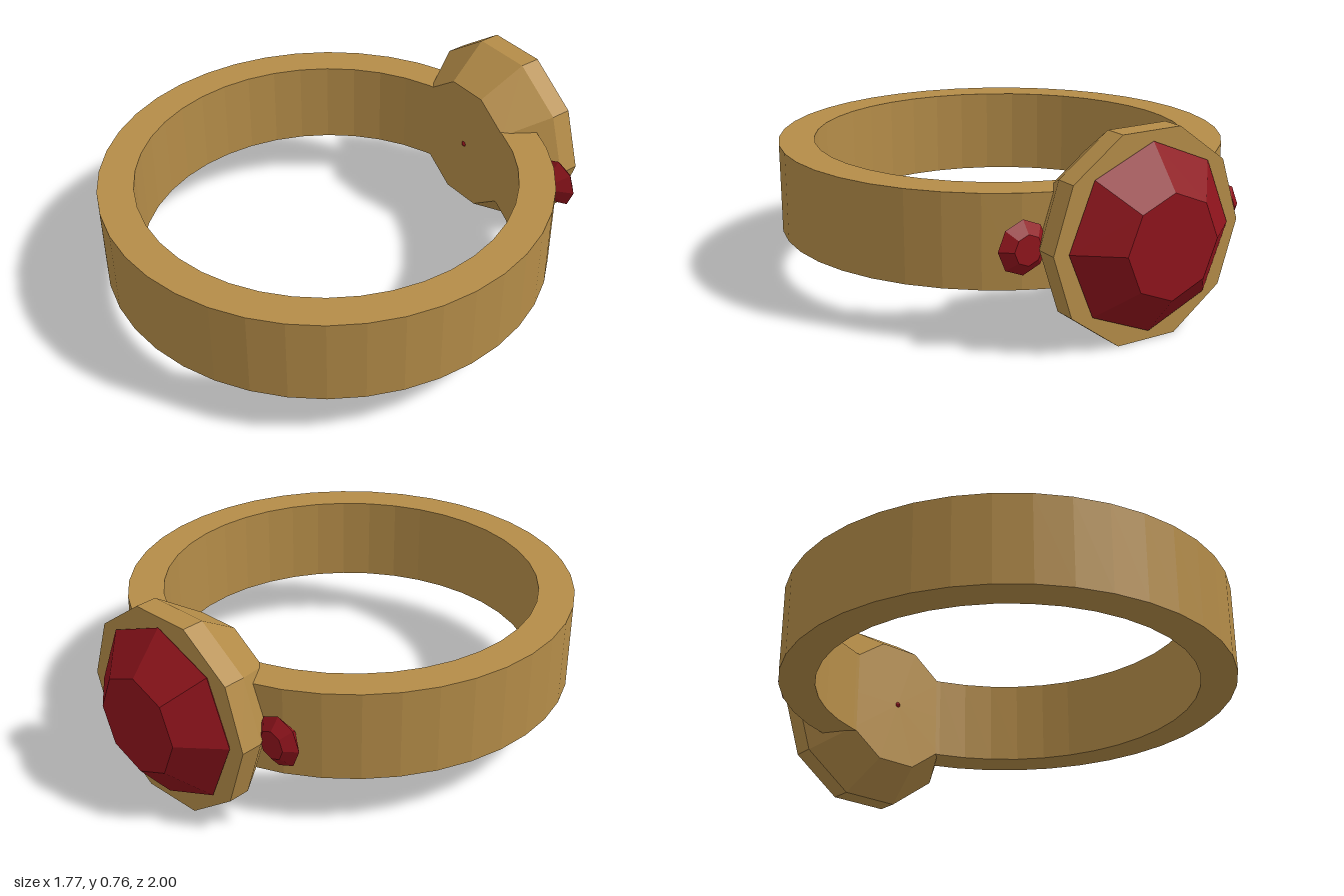
import * as THREE from 'three';

const CENTER_Y = 0.385;

const gold = new THREE.MeshStandardMaterial({ color: 0xb48c48, flatShading: true });
const ruby = new THREE.MeshStandardMaterial({ color: 0x8f141c, flatShading: true });

// Faceted solid of revolution; profile pairs are [radius, height], listed bottom to top
function faceted(name, profile, sides, material, phiStart = 0) {
  const points = profile.map(([r, h]) => new THREE.Vector2(r, h));
  const mesh = new THREE.Mesh(new THREE.LatheGeometry(points, sides, phiStart), material);
  mesh.name = name;
  return mesh;
}

// Eight-sided cut stone with its girdle at the origin and its table towards -z
function cutGem(name, scale) {
  const gem = faceted(name, [[0, -0.285], [0.345, 0], [0.193, 0.125], [0, 0.125]], 8, ruby);
  gem.rotation.x = -Math.PI / 2;
  gem.scale.setScalar(scale);
  return gem;
}

export function createModel() {
  const ring = new THREE.Group();
  ring.name = 'ring';

  // Flat band lying around the y axis
  const band = faceted('band', [
    [0.745, -0.175], [0.885, -0.175], [0.885, 0.175], [0.745, 0.175], [0.745, -0.175],
  ], 40, gold);
  band.position.set(0, CENTER_Y, 0.113);
  ring.add(band);

  // Ten-sided setting: flared cup with a straight rim, facing -z
  const setting = faceted('setting', [
    [0, 0.6], [0.28, 0.6], [0.4, 0.78], [0.4, 0.865], [0, 0.865],
  ], 10, gold, Math.PI / 2);
  setting.rotation.x = -Math.PI / 2;
  setting.position.y = CENTER_Y;
  ring.add(setting);

  // Main stone
  const mainGem = cutGem('mainGem', 1);
  mainGem.position.set(0, CENTER_Y, -0.875);
  ring.add(mainGem);

  // Small stones on both shoulders
  for (const side of [-1, 1]) {
    const sideGem = cutGem(side > 0 ? 'leftSideGem' : 'rightSideGem', 0.29);
    sideGem.position.set(side * 0.43, CENTER_Y, -0.725);
    ring.add(sideGem);
  }

  return ring;
}
